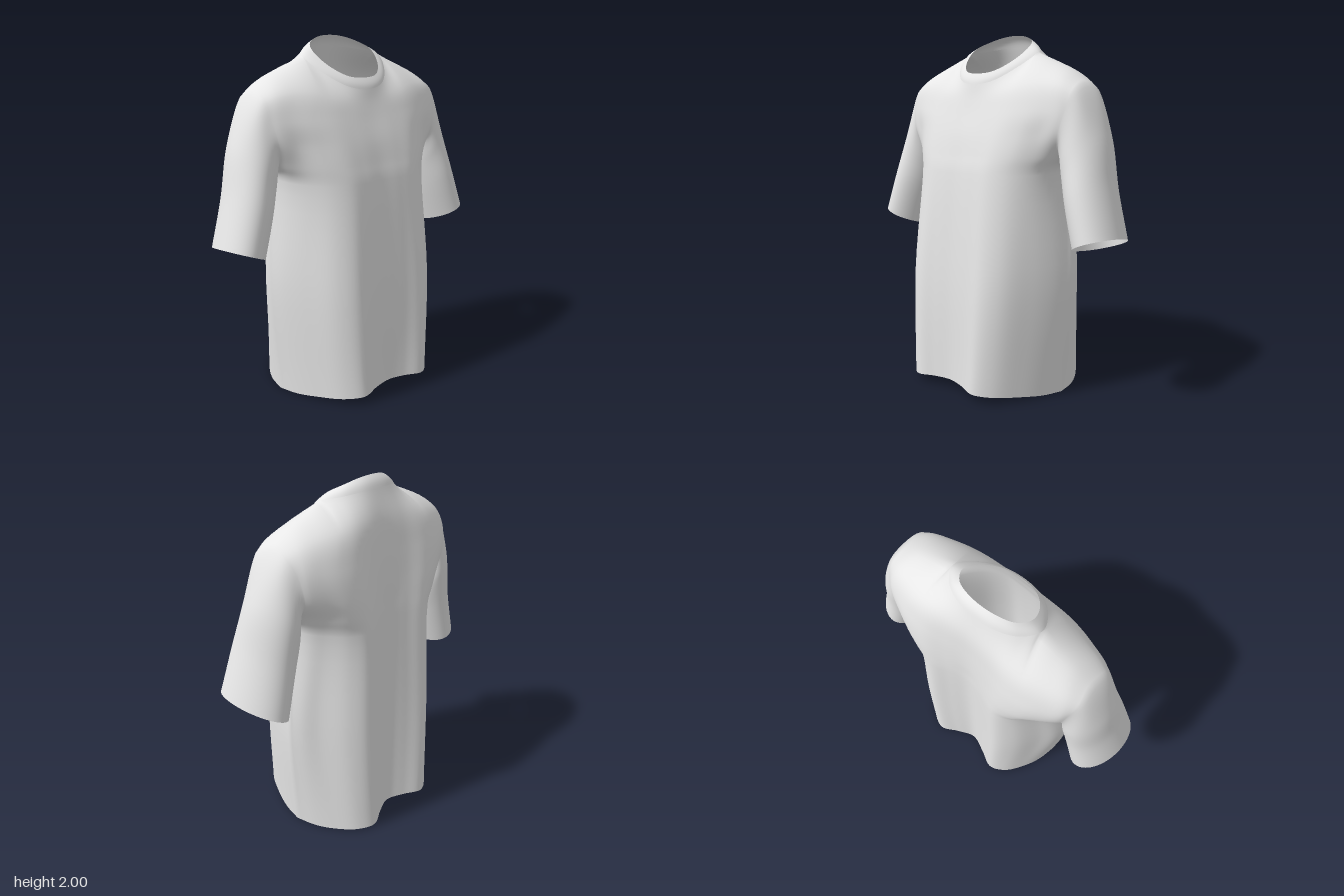
import * as THREE from 'three';
import { mergeGeometries, mergeVertices } from 'three/addons/utils/BufferGeometryUtils.js';

const V = (x, y, z) => new THREE.Vector3(x, y, z);
const curve = (pts, closed = false) => new THREE.CatmullRomCurve3(pts, closed);
const flipX = p => V(-p.x, p.y, p.z);

const N = 6;            // samples per control segment
const COLS = 6;         // column segments, centre line to side
const ROWS = 7;         // row segments, hem to shoulder
const ARMPIT = 2 * N;   // row sample where the sleeve hole begins
const TOP = ROWS * N;

// One cross-section of half a panel, centre line to side
const SPREAD = [0, 0.23, 0.46, 0.66, 0.83, 0.94, 1];
const YOKE = [0, 0.21, 0.4, 0.55, 0.72, 0.88, 1];
const row = (y, side, zs, spread = SPREAD) =>
  zs.map((z, i) => V(spread[i] * side, Array.isArray(y) ? y[i] : y, z));

const frontRows = [
  row([0.06, 0.057, 0.05, 0.04, 0.025, 0.01, 0.004], 0.48, [0.37, 0.388, 0.417, 0.352, 0.215, 0.085, -0.04]),
  row(0.65, 0.53, [0.36, 0.37, 0.38, 0.318, 0.18, 0.055, -0.055]),
  row([1.24, 1.24, 1.24, 1.24, 1.245, 1.25, 1.26], 0.497, [0.305, 0.31, 0.305, 0.262, 0.182, 0.085, -0.06]),
  row(1.34, 0.525, [0.283, 0.287, 0.282, 0.243, 0.176, 0.12, 0.065]),
  row(1.45, 0.555, [0.255, 0.257, 0.25, 0.215, 0.165, 0.14, 0.12]),
  row(1.58, 0.585, [0.21, 0.212, 0.205, 0.18, 0.145, 0.12, 0.1]),
  row([1.66, 1.665, 1.69, 1.722, 1.728, 1.715, 1.685], 0.602, [0.185, 0.18, 0.16, 0.13, 0.1, 0.075, 0.05], YOKE),
];
const backRows = [
  row([0.02, 0.02, 0.016, 0.012, 0.006, 0.003, 0.004], 0.48, [-0.335, -0.375, -0.425, -0.38, -0.275, -0.165, -0.04]),
  row(0.65, 0.53, [-0.325, -0.36, -0.4, -0.335, -0.205, -0.13, -0.055]),
  row([1.24, 1.24, 1.24, 1.24, 1.245, 1.25, 1.26], 0.497, [-0.315, -0.34, -0.372, -0.33, -0.24, -0.165, -0.06]),
  row(1.34, 0.525, [-0.31, -0.335, -0.366, -0.342, -0.262, -0.195, -0.14]),
  row(1.45, 0.555, [-0.305, -0.325, -0.355, -0.343, -0.298, -0.258, -0.23]),
  row(1.61, 0.585, [-0.29, -0.305, -0.325, -0.313, -0.28, -0.25, -0.218]),
  row([1.78, 1.78, 1.78, 1.778, 1.762, 1.732, 1.69], 0.602, [-0.265, -0.27, -0.268, -0.25, -0.222, -0.195, -0.165], YOKE),
];

// Closed ring from its half: front centre, round the side, to back centre
const ring = half => curve([...half, ...half.slice(1, -1).reverse().map(flipX)], true);
const seamRing = ring([V(0, 1.72, 0.17), V(0.12, 1.74, 0.145), V(0.22, 1.81, 0.06), V(0.27, 1.893, -0.06),
  V(0.21, 1.915, -0.15), V(0.11, 1.93, -0.2), V(0, 1.935, -0.212)]);
const neckRing = ring([V(0, 1.78, 0.14), V(0.1, 1.792, 0.122), V(0.18, 1.85, 0.045), V(0.207, 1.925, -0.055),
  V(0.165, 1.965, -0.125), V(0.085, 1.992, -0.16), V(0, 2, -0.17)]);
const shoulder = curve([V(0.27, 1.893, -0.06), V(0.38, 1.845, -0.068), V(0.49, 1.797, -0.073), V(0.592, 1.73, -0.07)]);

// Top edge of a panel: neck seam, then shoulder line
const topPoint = (u, back) => u >= 3 ? shoulder.getPoint((u - 3) / 3) : seamRing.getPoint((back ? 6 - u : u) / 12);
const mirrored = pts => curve([...pts.slice(1).reverse().map(flipX), ...pts]);

// Column of a panel; bend turns its top end over the shoulder
function column(pts, other, bend) {
  const ghost = pts[ROWS].clone().multiplyScalar(2).sub(pts[ROWS - 1]).lerp(other[ROWS - 1], bend);
  const path = curve([...pts, ghost]);
  return Array.from({ length: TOP + 1 }, (_, j) => path.getPoint(j / TOP * ROWS / (ROWS + 1)));
}

function buildPanels() {
  const fCurves = frontRows.map(mirrored), bCurves = backRows.map(mirrored);
  const front = [], back = [];
  for (let i = 0; i <= COLS * N; i++) {
    const u = i / N, at = c => c.getPoint(0.5 + u / 12);
    const f = [...fCurves.map(at), topPoint(u, false)];
    const b = [...bCurves.map(at), topPoint(u, true)];
    const bend = THREE.MathUtils.smoothstep(u, 2, 4.5);
    front.push(column(f, b, bend));
    back.push(column(b, f, bend));
  }
  // Close the side seam below the armpit
  const f = front[COLS * N], b = back[COLS * N];
  for (let j = 0; j <= ARMPIT; j++) {
    f[j].lerp(b[j], 0.5);
    b[j].copy(f[j]);
  }
  return { front, back };
}

// Sleeve rings: centre, inner-to-outer axis, front axis
const sleeveRings = [
  [V(0.618, 1.335, -0.052), V(0.103, 0.125, 0), V(0, 0, 0.18)],
  [V(0.668, 1.13, -0.032), V(0.118, 0.07, 0), V(0.01, 0.02, 0.19)],
  [V(0.735, 0.89, -0.022), V(0.125, 0.05, 0), V(0.018, 0.03, 0.203)],
];

function buildSleeve({ front, back }) {
  const half = TOP - ARMPIT, steps = 8 * 3, e = COLS * N;
  const grid = Array.from({ length: steps + 1 }, () => []);
  for (let k = 0; k <= 2 * half; k++) {
    const panel = k <= half ? front : back;
    const j = ARMPIT + (k <= half ? k : 2 * half - k);
    const a = Math.PI * k / half;
    // Carry the slope of the body across the armhole
    const w = THREE.MathUtils.smoothstep(j, ARMPIT, ARMPIT + 12);
    const lead = front[e][ARMPIT - 2].clone().lerp(panel[e - N][j], w);
    const path = curve([lead, panel[e][j], ...sleeveRings.map(([c, out, fwd]) =>
      c.clone().addScaledVector(out, -Math.cos(a)).addScaledVector(fwd, Math.sin(a)))]);
    for (let s = 0; s <= steps; s++) grid[s].push(path.getPoint(0.25 + 0.75 * s / steps));
  }
  return grid;
}

// Collar band with a slightly padded section
function buildCollar() {
  const grid = [], around = 12 * N, across = 6, mid = V(0, 1.8, -0.03);
  for (let i = 0; i <= around; i++) {
    const a = seamRing.getPoint(i / around), b = neckRing.getPoint(i / around);
    const out = a.clone().sub(mid).normalize();
    grid.push(Array.from({ length: across + 1 }, (_, w) =>
      a.clone().lerp(b, w / across).addScaledVector(out, 0.006 * Math.sin(Math.PI * w / across))));
  }
  return grid;
}

// Surface from a grid of points
function sheet(grid, flip = false) {
  const n = grid[0].length, index = [];
  for (let i = 0; i < grid.length - 1; i++) for (let j = 0; j < n - 1; j++) {
    const a = i * n + j, b = a + n, c = b + 1, d = a + 1;
    index.push(...(flip ? [a, c, b, a, d, c] : [a, b, c, a, c, d]));
  }
  const g = new THREE.BufferGeometry().setFromPoints(grid.flat());
  g.setIndex(index);
  return g;
}
const pair = (grid, flip) => [sheet(grid, flip), sheet(grid.map(r => r.map(flipX)), !flip)];

function smooth(parts) {
  const g = mergeVertices(mergeGeometries(parts), 1e-4);
  g.computeVertexNormals();
  return g;
}

export function createModel() {
  const group = new THREE.Group();
  group.name = 'tShirt';
  const cloth = new THREE.MeshStandardMaterial({ color: 0xe7e7e7, side: THREE.DoubleSide });
  cloth.name = 'light grey cloth';
  const add = (name, parts) => {
    const mesh = new THREE.Mesh(smooth(parts), cloth);
    mesh.name = name;
    group.add(mesh);
  };
  const panels = buildPanels();
  add('bodyAndSleeves', [
    ...pair(panels.front, false),
    ...pair(panels.back, true),
    ...pair(buildSleeve(panels), false),
  ]);
  add('collar', [sheet(buildCollar())]);
  return group;
}
